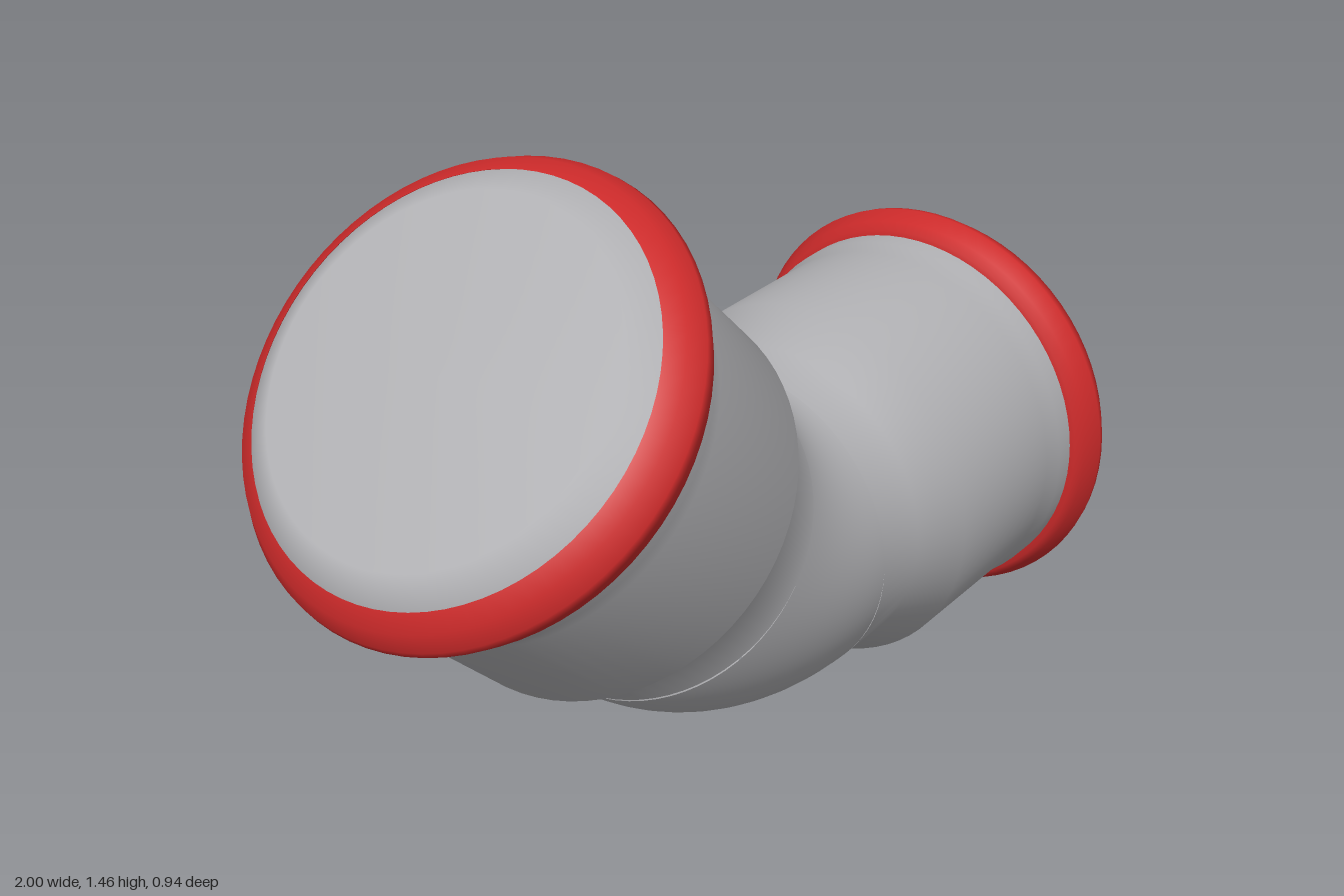
import * as THREE from 'three';

const CORNER = new THREE.Vector2(-0.011, 0.472); // where the two pipe axes meet
const PIPE_RADIUS = 0.355;
const BEND_START = 0.19; // distance from the corner to each end of the bend

// Profiles as [radius, distance from the corner]
const SOCKET = [
  [PIPE_RADIUS, BEND_START], [PIPE_RADIUS, 0.32], [0.415, 0.41], [0.415, 0.76],
  [0.424, 0.80], [0.425, 0.87], [0.43, 0.94], [0.411, 0.976], [0.355, 1.011], [0, 1.011],
];
const RING = [
  [0.41, 0.846], [0.437, 0.846], [0.452, 0.865], [0.469, 0.905],
  [0.466, 0.92], [0.445, 0.957], [0.411, 0.977],
];

function lathe(profile) {
  return new THREE.LatheGeometry(profile.map(([r, y]) => new THREE.Vector2(r, y)), 72);
}

export function createModel() {
  const grey = new THREE.MeshStandardMaterial({ color: 0xb0b0b3, side: THREE.DoubleSide });
  grey.name = 'pipe grey';
  const red = new THREE.MeshStandardMaterial({ color: 0xcc2a2a, side: THREE.DoubleSide });
  red.name = 'ring red';

  const model = new THREE.Group();
  model.name = 'pipeElbow';

  const add = (parent, name, geometry, material) => {
    const mesh = new THREE.Mesh(geometry, material);
    mesh.name = name;
    parent.add(mesh);
    return mesh;
  };

  // Two identical socket legs, one level and one rising at 45 degrees
  const socketGeometry = lathe(SOCKET);
  const ringGeometry = lathe(RING);
  for (const [name, angle] of [['levelLeg', -Math.PI / 2], ['risingLeg', Math.PI / 4]]) {
    const leg = new THREE.Group();
    leg.name = name;
    leg.position.set(CORNER.x, CORNER.y, 0);
    leg.rotation.z = angle;
    add(leg, 'socket', socketGeometry, grey);
    add(leg, 'sealRing', ringGeometry, red);
    model.add(leg);
  }

  // Bend, turned slightly less than 45 degrees so a thin wedge opens at each outer seam
  const arc = Math.PI / 4 - 0.06;
  const bisector = THREE.MathUtils.degToRad(67.5);
  const halfChord = BEND_START * Math.sin(bisector);
  const radius = halfChord / Math.sin(arc / 2);
  const offset = BEND_START * Math.cos(bisector) + radius * Math.cos(arc / 2);
  const bend = add(model, 'bend', new THREE.TorusGeometry(radius, PIPE_RADIUS, 72, 24, arc), grey);
  bend.position.set(
    CORNER.x + offset * Math.cos(bisector), CORNER.y + offset * Math.sin(bisector), 0);
  bend.rotation.z = bisector + Math.PI - arc / 2;

  return model;
}
